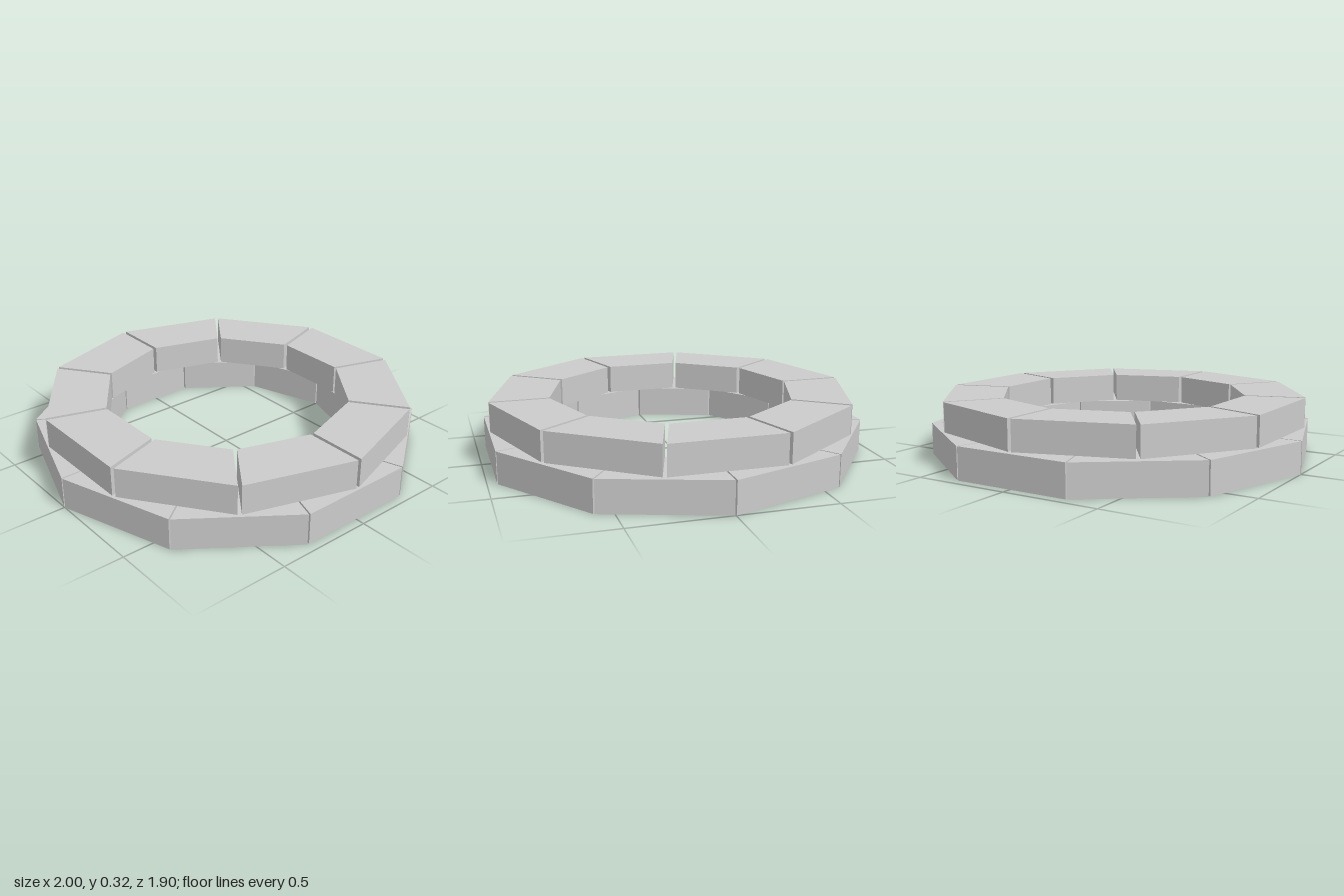
import * as THREE from 'three';

const COUNT = 10;
const STEP = (Math.PI * 2) / COUNT;

// Wedge-shaped block pointing along +x, with parallel-sided joints of width 2 * gap
function blockGeometry(inner, outer, height, gap) {
  const slope = Math.tan(STEP / 2);
  const a = inner * slope - gap;
  const b = outer * slope - gap;
  const shape = new THREE.Shape([
    new THREE.Vector2(inner, -a),
    new THREE.Vector2(outer, -b),
    new THREE.Vector2(outer, b),
    new THREE.Vector2(inner, a),
  ]);
  const geometry = new THREE.ExtrudeGeometry(shape, { depth: height, bevelEnabled: false });
  return geometry.rotateX(-Math.PI / 2);
}

// Ten equal blocks laid in a circle
function blockRing(name, { inner, outer, bottom, top, gap, turn }) {
  const ring = new THREE.Group();
  ring.name = name;
  const geometry = blockGeometry(inner, outer, top - bottom, gap);
  const material = new THREE.MeshStandardMaterial({ color: 0xcccccc, flatShading: true });
  for (let i = 0; i < COUNT; i++) {
    const block = new THREE.Mesh(geometry, material);
    block.name = `${name}Block${i + 1}`;
    block.position.y = bottom;
    block.rotation.y = turn + i * STEP;
    ring.add(block);
  }
  return ring;
}

export function createModel() {
  const model = new THREE.Group();
  model.name = 'stoneRing';
  // Lower course, turned half a block so its joints are staggered
  model.add(blockRing('lowerCourse', {
    inner: 0.645, outer: 0.952, bottom: 0, top: 0.163, gap: 0.004, turn: STEP / 2,
  }));
  // Narrower upper course with wider joints
  model.add(blockRing('upperCourse', {
    inner: 0.612, outer: 0.904, bottom: 0.171, top: 0.322, gap: 0.01, turn: 0,
  }));
  return model;
}
